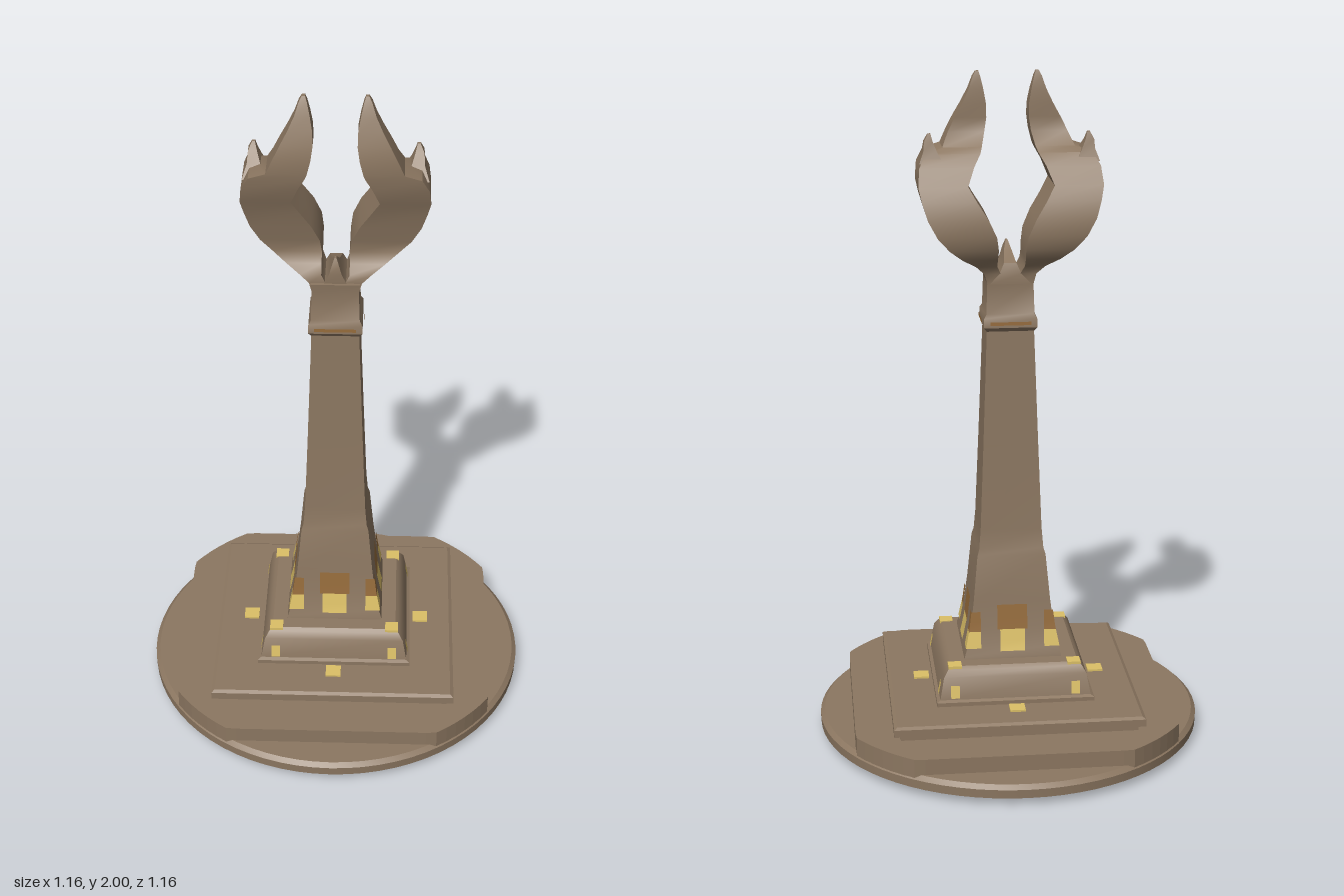
import * as THREE from 'three';
import { toCreasedNormals } from 'three/addons/utils/BufferGeometryUtils.js';

const mat = (name, color) => new THREE.MeshStandardMaterial({ name, color });

// Rectangular sections [y, x0, x1, z0, z1] joined from bottom to top, capped
function loft(sections, crease = 0.5) {
  const pos = [], idx = [];
  for (const [y, x0, x1, z0, z1] of sections) pos.push(x0, y, z1, x1, y, z1, x1, y, z0, x0, y, z0);
  const n = sections.length;
  for (let i = 0; i < n - 1; i++) {
    for (let k = 0; k < 4; k++) {
      const a = i * 4 + k, b = i * 4 + (k + 1) % 4;
      idx.push(a, b, b + 4, a, b + 4, a + 4);
    }
  }
  const t = (n - 1) * 4;
  idx.push(0, 2, 1, 0, 3, 2, t, t + 1, t + 2, t, t + 2, t + 3);
  const g = new THREE.BufferGeometry();
  g.setAttribute('position', new THREE.Float32BufferAttribute(pos, 3));
  g.setIndex(idx);
  return toCreasedNormals(g, crease);
}
const square = (profile) => loft(profile.map(([y, h]) => [y, -h, h, -h, h]));

// Half width of a tapered profile at height y
function halfAt(profile, y) {
  for (let i = 1; i < profile.length; i++) {
    const [ya, a] = profile[i - 1], [yb, b] = profile[i];
    if (y <= yb) return a + (b - a) * (y - ya) / (yb - ya);
  }
  return profile[profile.length - 1][1];
}

// Thin panel lying on the +z face of a tapered square profile
function panel(profile, y0, y1, x0, x1) {
  const pos = [], idx = [], steps = 4, lift = 0.004;
  for (let i = 0; i <= steps; i++) {
    const y = y0 + (y1 - y0) * i / steps, h = halfAt(profile, y) + lift;
    for (const x of [x0, x1]) pos.push(Math.max(-h, Math.min(h, x)), y, h);
    if (i) { const a = i * 2 - 2; idx.push(a, a + 1, a + 3, a, a + 3, a + 2); }
  }
  const g = new THREE.BufferGeometry();
  g.setAttribute('position', new THREE.Float32BufferAttribute(pos, 3));
  g.setIndex(idx);
  g.computeVertexNormals();
  return g;
}

export function createModel() {
  const model = new THREE.Group();
  const stone = mat('brown stone', 0x8c7761);
  const glow = mat('yellow light', 0xdcc067);
  const amber = mat('amber glow', 0x956b3b);
  const add = (name, geo, material, parent = model) => {
    const m = new THREE.Mesh(geo, material);
    m.name = name;
    parent.add(m);
    return m;
  };

  // Round foot
  const foot = [[0, 0], [0.36, 0], [0.55, 0.012], [0.577, 0.024], [0.578, 0.05], [0.565, 0.062], [0, 0.062]]
    .map(([x, y]) => new THREE.Vector2(x, y));
  add('roundFoot', toCreasedNormals(new THREE.LatheGeometry(foot, 72), 0.6), stone);

  // Square step trimmed by the round foot
  const clamp = (v) => Math.max(-0.48, Math.min(0.48, v));
  const outline = [];
  for (let i = 0; i < 96; i++) {
    const a = i / 96 * Math.PI * 2;
    outline.push(new THREE.Vector2(clamp(0.574 * Math.cos(a)), clamp(0.574 * Math.sin(a))));
  }
  const step = new THREE.ExtrudeGeometry(new THREE.Shape(outline), { depth: 0.06, bevelEnabled: false });
  step.rotateX(-Math.PI / 2).translate(0, 0.05, 0);
  add('trimmedStep', step, stone);

  // Square steps and plinth
  add('upperStep', square([[0.1, 0.35], [0.128, 0.35], [0.13, 0.37], [0.152, 0.37], [0.158, 0.36]]), stone);
  const plinth = [[0.15, 0.235], [0.17, 0.235], [0.175, 0.225], [0.24, 0.213], [0.26, 0.2], [0.268, 0.19]];
  add('plinth', square(plinth), stone);

  // Tapering pillar with collar
  const pillar = [[0.26, 0.147], [0.275, 0.145], [0.3, 0.137], [0.36, 0.125], [0.44, 0.115], [0.58, 0.102],
    [0.6, 0.096], [0.66, 0.091], [0.92, 0.081], [1.26, 0.069], [1.272, 0.078], [1.3, 0.077], [1.312, 0.07],
    [1.4, 0.067], [1.43, 0.07]];
  add('pillar', square(pillar), stone);

  // Lights and glow repeated on the four sides
  for (let s = 0; s < 4; s++) {
    const side = new THREE.Group();
    side.name = 'sideLights';
    side.rotation.y = s * Math.PI / 2;
    model.add(side);
    add('middleWindow', panel(pillar, 0.29, 0.355, -0.037, 0.037), glow, side);
    add('middleGlow', panel(pillar, 0.355, 0.43, -0.045, 0.045), amber, side);
    for (const [a, b] of [[0.095, 0.2], [-0.2, -0.095]]) {
      add('cornerWindow', panel(pillar, 0.3, 0.35, a, b), glow, side);
      add('cornerGlow', panel(pillar, 0.35, 0.41, a, b), amber, side);
    }
    for (const x of [-0.18, 0.18]) {
      add('plinthLight', panel(plinth, 0.18, 0.218, x - 0.013, x + 0.013), glow, side);
    }
    add('plinthCornerLight', new THREE.BoxGeometry(0.04, 0.008, 0.04).translate(0.178, 0.266, 0.178), glow, side);
    add('stepLight', new THREE.BoxGeometry(0.046, 0.008, 0.046).translate(0, 0.16, 0.268), glow, side);
    add('collarGlow', panel(pillar, 1.28, 1.29, -0.06, 0.06), amber, side);
  }

  // Pointed ridge between the claws
  add('ridge', loft([[1.4, -0.06, 0.06, -0.07, 0.06], [1.43, -0.032, 0.032, -0.07, 0.062],
    [1.46, -0.018, 0.018, -0.06, 0.064], [1.485, -0.011, 0.011, 0.01, 0.062],
    [1.508, -0.003, 0.003, 0.04, 0.052]]), stone);

  // Pair of curved claws: sections [y, inner, outer, back, front]
  const claw = [[1.4, 0.01, 0.067, -0.068, 0.06], [1.43, 0.028, 0.075, -0.07, 0.06], [1.455, 0.04, 0.1, -0.085, 0.058],
    [1.48, 0.04, 0.14, -0.11, 0.035], [1.51, 0.039, 0.178, -0.128, 0.02], [1.55, 0.045, 0.213, -0.138, 0.028],
    [1.6, 0.068, 0.24, -0.135, 0.04], [1.65, 0.1, 0.255, -0.12, 0.052], [1.69, 0.123, 0.264, -0.1, 0.067],
    [1.74, 0.103, 0.259, -0.068, 0.085], [1.775, 0.083, 0.238, -0.045, 0.09], [1.79, 0.077, 0.19, -0.02, 0.092],
    [1.83, 0.067, 0.172, 0.01, 0.092], [1.87, 0.061, 0.152, 0.012, 0.085], [1.91, 0.062, 0.13, 0.012, 0.073],
    [1.95, 0.069, 0.111, 0.015, 0.06], [1.985, 0.077, 0.099, 0.02, 0.046], [2.0, 0.082, 0.091, 0.025, 0.038]];
  const spur = [[1.75, 0.19, 0.258, -0.058, 0.05], [1.785, 0.208, 0.245, -0.045, 0.02],
    [1.81, 0.218, 0.243, -0.04, -0.008], [1.832, 0.224, 0.232, -0.033, -0.022]];
  const mirror = (list, s) => list.map(([y, a, b, c, d]) => (s > 0 ? [y, a, b, c, d] : [y, -b, -a, c, d]));
  for (const s of [1, -1]) {
    const name = s > 0 ? 'left' : 'right';
    add(name + 'Claw', loft(mirror(claw, s), 0.7), stone);
    add(name + 'ClawSpur', loft(mirror(spur, s)), stone);
  }
  return model;
}
